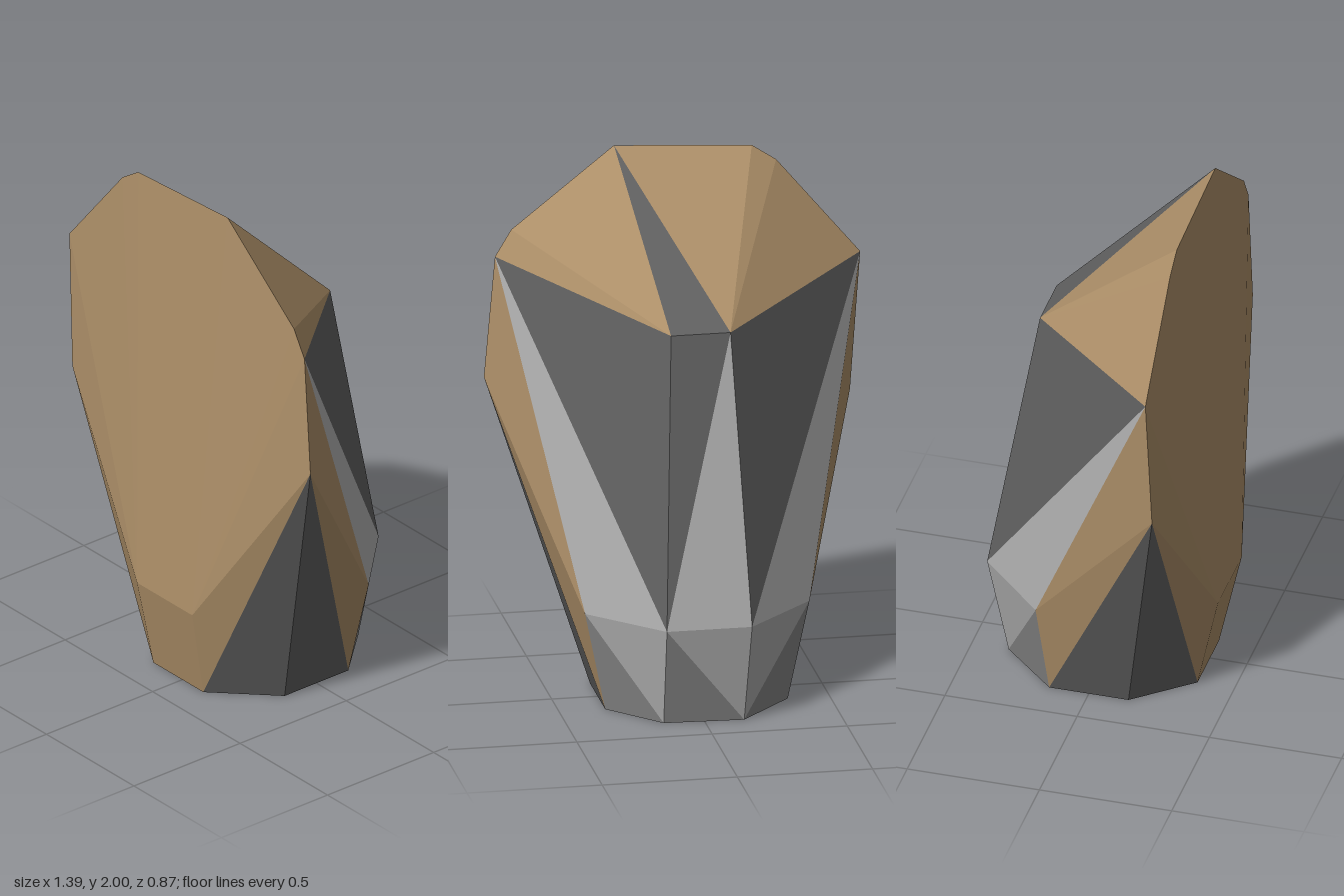
import * as THREE from 'three';

// Corners of the faceted boulder, ring by ring (+x is its left side)
const P = {
  // wide front rim, clockwise from upper right
  t1: [-0.39, 1.91, 0.32], t2: [-0.30, 1.97, 0.32], t3: [0.21, 2.0, 0.32], t4: [0.59, 1.70, 0.32],
  t5: [0.65, 1.60, 0.32], t6: [0.69, 1.14, 0.325], t7: [-0.665, 1.01, 0.33], t8: [-0.70, 1.54, 0.315],
  // top edge at the back
  u1: [-0.115, 1.45, -0.25], u2: [0.105, 1.45, -0.25],
  // lower belt
  f1: [-0.165, 0.36, 0.437], f2: [0.15, 0.36, 0.437],
  s1: [0.41, 0.38, -0.18], s2: [-0.42, 0.38, -0.18],
  b1: [-0.16, 0.38, -0.437], b2: [0.155, 0.38, -0.437],
  // eight-sided foot
  a1: [-0.165, 0, 0.36], a2: [0.12, 0, 0.36], a3: [0.33, 0, 0.15], a4: [0.33, 0, -0.15],
  a5: [0.15, 0, -0.345], a6: [-0.145, 0, -0.36], a7: [-0.345, 0, -0.15], a8: [-0.345, 0, 0.15],
};

// Each entry is a fan of corners around its first corner
const PARTS = {
  brownFace: {
    color: 0xae9069,
    fans: [
      'f1 t7 t8 t1 t2 t3 f2', 'f2 t3 t4 t5 t6',      // broad front
      'f1 f2 a2 a1', 'f1 t7 a1', 'f2 t6 a2',          // front foot
      'u1 t8 t1 t2 t3', 'u2 t3 t4 t5',                // sloping top
      's1 t5 t6 a4', 's2 t8 t7 a7',                   // side bands
    ],
  },
  darkGreyStone: {
    color: 0x616161,
    fans: [
      'u1 u2 t3', 'u1 u2 b2', 'u1 t8 b1', 'u2 t5 b2', // upper back
      't6 a2 a3 a4', 't7 a1 a8 a7',                   // lower sides
      'a1 a2 a3 a4 a5 a6 a7 a8',                      // underside
    ],
  },
  midGreyStone: { color: 0x878787, fans: ['s1 a4 a5', 's2 a7 a6', 'b2 a5 a6'] },
  lightGreyStone: {
    color: 0xafafaf,
    fans: ['u1 b1 b2', 't8 b1 s2', 't5 s1 b2', 's1 b2 a5', 's2 b1 a6', 'b2 b1 a6'],
  },
};

const CENTRE = new THREE.Vector3(0, 0.85, 0.08);

// Triangulates the fans with every face turned outward
function facetGeometry(fans) {
  const pos = [];
  for (const fan of fans) {
    const v = fan.split(' ').map((k) => new THREE.Vector3(...P[k]));
    for (let i = 1; i < v.length - 1; i++) {
      const tri = new THREE.Triangle(v[0], v[i], v[i + 1]);
      const out = tri.getMidpoint(new THREE.Vector3()).sub(CENTRE);
      const flip = tri.getNormal(new THREE.Vector3()).dot(out) < 0;
      for (const c of flip ? [tri.a, tri.c, tri.b] : [tri.a, tri.b, tri.c]) pos.push(c.x, c.y, c.z);
    }
  }
  const g = new THREE.BufferGeometry();
  g.setAttribute('position', new THREE.Float32BufferAttribute(pos, 3));
  g.computeVertexNormals(); // unshared corners keep the facets flat
  return g;
}

export function createModel() {
  const boulder = new THREE.Group();
  boulder.name = 'boulder';
  for (const [name, { color, fans }] of Object.entries(PARTS)) {
    const material = new THREE.MeshStandardMaterial({ color });
    material.name = name.replace(/Face|Stone/, '');
    const mesh = new THREE.Mesh(facetGeometry(fans), material);
    mesh.name = name;
    boulder.add(mesh);
  }
  return boulder;
}
